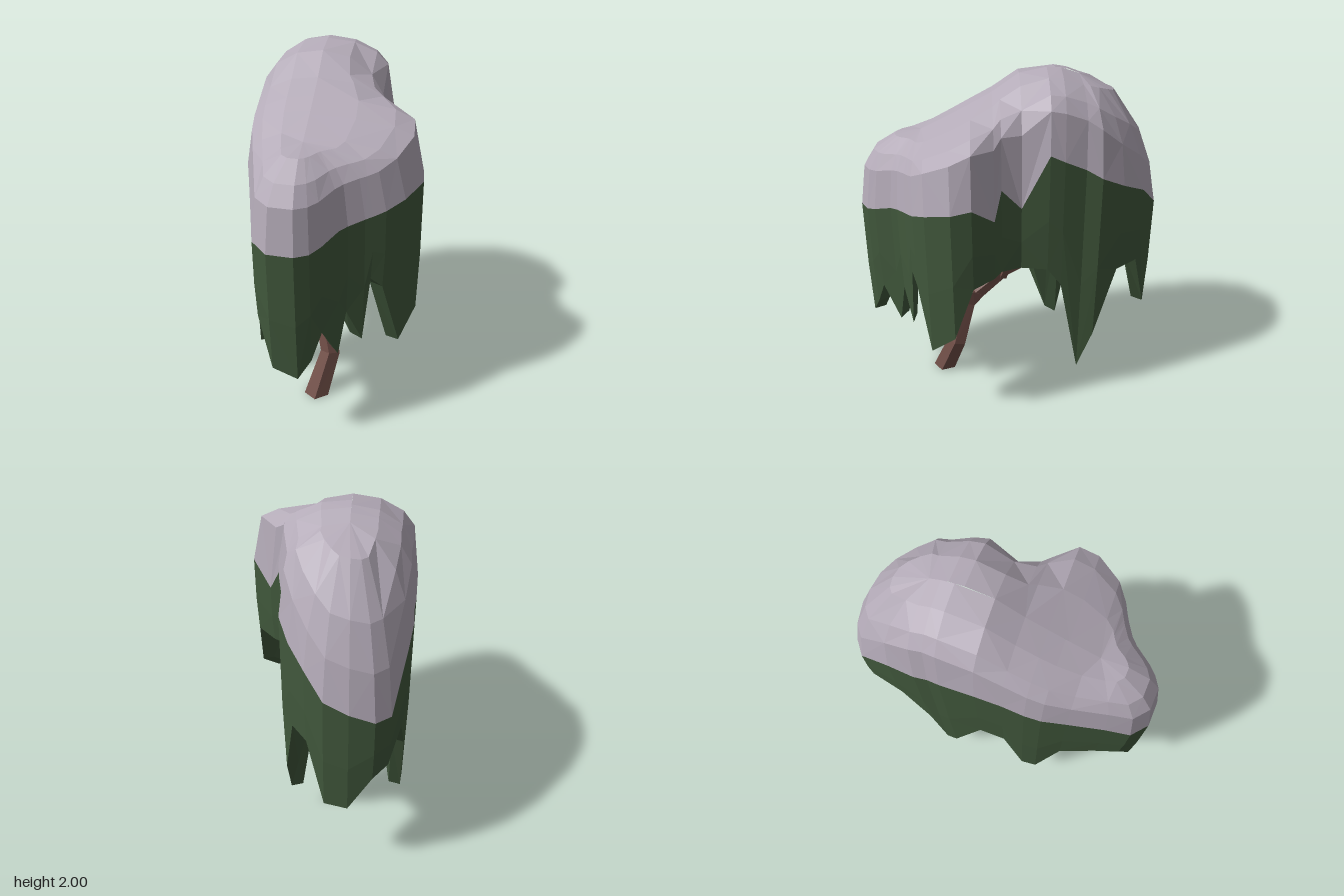
import * as THREE from 'three';

const { lerp, clamp, smoothstep, mapLinear } = THREE.MathUtils;

// Canopy outline, counter-clockwise from above: x, z, snow line height, hem height
const OUTLINE = [
  // front strands
  [-0.33, 0.78, 1.22, 0.77], [-0.24, 0.86, 1.2, 0.5], [-0.1, 0.87, 1.2, 0.45], [-0.03, 0.83, 1.2, 0.55],
  [0.02, 0.78, 1.22, 0.7], [0.09, 0.68, 1.26, 0.5], [0.13, 0.64, 1.27, 0.75], [0.21, 0.59, 1.29, 0.55],
  // side lobe
  [0.25, 0.57, 1.3, 0.93], [0.31, 0.54, 1.32, 0.87], [0.4, 0.47, 1.36, 0.48], [0.48, 0.33, 1.4, 0.62],
  [0.47, 0.22, 1.42, 0.94], [0.36, 0.1, 1.3, 0.94], [0.29, 0.06, 1.45, 0.94], [0.25, -0.05, 1.32, 0.94],
  // left flank
  [0.26, -0.2, 1.63, 0.93], [0.25, -0.28, 1.59, 0.82], [0.22, -0.4, 1.53, 0.2], [0.23, -0.49, 1.48, 0.45],
  [0.17, -0.62, 1.41, 0.87], [0.08, -0.75, 1.34, 0.88],
  // back
  [-0.02, -0.84, 1.22, 0.52], [-0.15, -0.87, 1.17, 0.52], [-0.28, -0.86, 1.12, 0.74], [-0.36, -0.8, 1.12, 0.79],
  // right flank
  [-0.43, -0.57, 1.36, 0.86], [-0.46, -0.4, 1.42, 0.6], [-0.46, -0.32, 1.45, 0.18], [-0.47, -0.25, 1.47, 0.22],
  [-0.48, -0.05, 1.51, 0.77], [-0.48, 0.1, 1.5, 0.75], [-0.48, 0.22, 1.46, 0.27], [-0.47, 0.31, 1.43, 0.25],
  [-0.43, 0.44, 1.38, 0.7], [-0.37, 0.64, 1.3, 0.75],
];

// Height of the snow ridge along z
const CREST = [[-0.4, 1.95], [-0.3, 1.99], [-0.1, 2], [0.1, 1.86], [0.3, 1.75], [0.5, 1.65]];
function crest(z) {
  const i = Math.max(1, CREST.findIndex(([end]) => z <= end));
  return mapLinear(z, CREST[i - 1][0], CREST[i][0], CREST[i - 1][1], CREST[i][1]);
}
const SPINE_X = -0.12;
const spineZ = (z) => clamp(z, -0.38, 0.5);

// Faceted skin over closed rings, listed from the bottom up
function skin(rings) {
  const pos = [];
  const tri = (a, b, c) => {
    const area = b.clone().sub(a).cross(c.clone().sub(a)).length();
    if (area > 1e-7) for (const p of [a, b, c]) pos.push(p.x, p.y, p.z);
  };
  for (let r = 0; r + 1 < rings.length; r++) {
    const lo = rings[r], hi = rings[r + 1];
    lo.forEach((a, i) => {
      const j = (i + 1) % lo.length;
      if ((i + r) % 2) {
        tri(a, lo[j], hi[j]);
        tri(a, hi[j], hi[i]);
      } else {
        tri(a, lo[j], hi[i]);
        tri(lo[j], hi[j], hi[i]);
      }
    });
  }
  const g = new THREE.BufferGeometry();
  g.setAttribute('position', new THREE.Float32BufferAttribute(pos, 3));
  g.computeVertexNormals();
  return g;
}

// Outline ring moved towards the spine by a distance, at a given height
function insetRing(distance, height) {
  return OUTLINE.map(([x, z, rim, hem]) => {
    const dx = SPINE_X - x, dz = spineZ(z) - z, len = Math.hypot(dx, dz);
    const t = Math.min(1, distance / len);
    return new THREE.Vector3(x + dx * t, height(rim, hem), z + dz * t);
  });
}

// Snow ring: f = 0 at the snow line, f = 1 on the ridge; steeper walls on the flanks and lobe
function snowRing(f) {
  return OUTLINE.map(([x, z, rim]) => {
    const sz = spineZ(z);
    const power = lerp(1.4, 0.55, smoothstep(z, -0.85, -0.35))
      + 0.2 * smoothstep(z, 0.5, 0.8) - 0.2 * smoothstep(x, 0.26, 0.45);
    const g = Math.pow(Math.sqrt(1 - (1 - f) ** 2), power);
    return new THREE.Vector3(lerp(x, SPINE_X, f), lerp(rim, crest(sz), g), lerp(z, sz, f));
  });
}

// Tapering limb through points of x, y, z, radius
function limb(points, upright = false) {
  const centers = points.map((p) => new THREE.Vector3(p[0], p[1], p[2]));
  const up = new THREE.Vector3(0, 1, 0);
  const rings = points.map((p, i) => {
    const dir = centers[Math.min(i + 1, centers.length - 1)].clone().sub(centers[Math.max(i - 1, 0)]).normalize();
    const q = new THREE.Quaternion().setFromUnitVectors(up, upright && i === 0 ? up : dir);
    return Array.from({ length: 5 }, (_, k) => {
      const a = (k / 5) * Math.PI * 2;
      return new THREE.Vector3(Math.sin(a) * p[3], 0, Math.cos(a) * p[3]).applyQuaternion(q).add(centers[i]);
    });
  });
  const cap = (c) => Array.from({ length: 5 }, () => c.clone());
  return skin([cap(centers[0]), ...rings, cap(centers[centers.length - 1])]);
}

export function createModel() {
  const snow = new THREE.MeshStandardMaterial({ color: 0xb4abb8 });
  snow.name = 'snow';
  const leaf = new THREE.MeshStandardMaterial({ color: 0x41583c });
  leaf.name = 'leaf green';
  const bark = new THREE.MeshStandardMaterial({ color: 0x714f48 });
  bark.name = 'bark';

  const model = new THREE.Group();
  model.name = 'snowyWillow';
  const add = (name, geometry, material, parent = model) => {
    const mesh = new THREE.Mesh(geometry, material);
    mesh.name = name;
    parent.add(mesh);
  };

  // Snow cap
  add('snowCap', skin([0, 0.1, 0.27, 0.6, 1].map(snowRing)), snow);

  // Hanging foliage: ceiling, inner wall, hem, outer wall
  add('hangingFoliage', skin([
    insetRing(9, () => 1.08),
    insetRing(0.2, () => 1.04),
    insetRing(0.08, (rim, hem) => hem + 0.02),
    insetRing(0.01, (rim, hem) => hem),
    insetRing(0, (rim, hem) => lerp(hem, rim, 0.45)),
    insetRing(0, (rim) => rim),
  ]), leaf);

  // Trunk and branches
  const tree = new THREE.Group();
  tree.name = 'trunkAndBranches';
  model.add(tree);
  add('trunk', limb([
    [-0.09, 0, 0.43, 0.075], [-0.02, 0.25, 0.34, 0.06], [-0.08, 0.5, 0.27, 0.055], [-0.09, 0.58, 0.22, 0.05],
  ], true), bark, tree);
  add('longBranch', limb([
    [-0.08, 0.5, 0.27, 0.052], [-0.1, 0.57, 0.2, 0.05], [-0.14, 0.7, 0.03, 0.042],
    [-0.2, 0.81, -0.25, 0.036], [-0.25, 1.08, -0.5, 0.03],
  ]), bark, tree);
  add('uprightBranch', limb([
    [-0.08, 0.5, 0.27, 0.048], [-0.1, 0.64, 0.31, 0.042], [-0.1, 1.1, 0.32, 0.03],
  ]), bark, tree);
  add('sideBranch', limb([
    [-0.13, 0.66, 0.05, 0.036], [-0.1, 0.76, 0.02, 0.034], [-0.08, 1.1, -0.04, 0.028],
  ]), bark, tree);

  return model;
}
